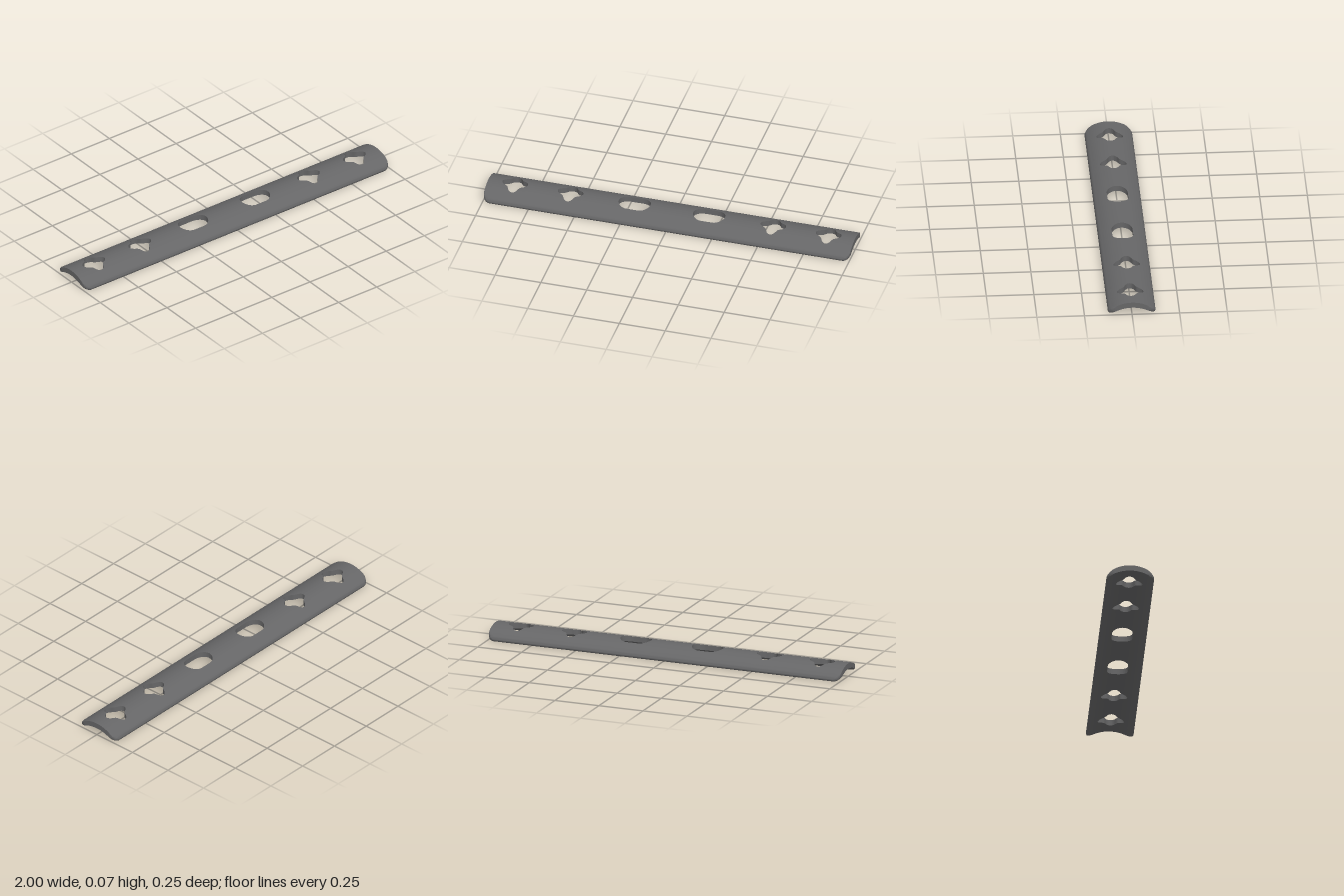
import * as THREE from 'three';
import { toCreasedNormals } from 'three/addons/utils/BufferGeometryUtils.js';

const HALF_LENGTH = 1, HALF_WIDTH = 0.125, CORNER = 0.038;

// Arched cross-section: heights of the outer and inner faces
const arc = (top, r, z) => top - r + Math.sqrt(r * r - z * z);
const outerY = z => arc(0.07, 0.181, z);
const innerY = z => arc(0.04, 0.195, z);

// Half outlines of the holes, as [x, half width] from -x to +x
function cloverHole(cx) {
  return Array.from({ length: 41 }, (_, i) => {
    const t = Math.PI * (1 - i / 40), r = 0.059 + 0.0105 * Math.cos(4 * t);
    return [cx + r * Math.cos(t), Math.max(0, r * Math.sin(t))];
  });
}
function slotHole(cx) {
  const r = 0.055, straight = 0.031;
  return Array.from({ length: 26 }, (_, i) => {
    const left = i < 13, t = Math.PI * (1 - (left ? i : i - 1) / 24);
    return [cx + (left ? -straight : straight) + r * Math.cos(t), r * Math.sin(t)];
  });
}

// Half width of the plate, with rounded corners
function plateEdge(x) {
  const d = Math.max(0, Math.abs(x) - (HALF_LENGTH - CORNER));
  return HALF_WIDTH - CORNER + Math.sqrt(Math.max(0, CORNER * CORNER - d * d));
}

// Stations along the plate: corner roundings plus every hole outline
function stations() {
  const list = [];
  for (let i = 0; i <= 10; i++) {
    const x = HALF_LENGTH - CORNER + CORNER * Math.sin((i / 10) * Math.PI / 2);
    list.push([-x, 0], [x, 0]);
  }
  for (const s of [-1, 1]) {
    list.push(...cloverHole(s * 0.855), ...cloverHole(s * 0.553), ...slotHole(s * 0.203));
  }
  return list.sort((a, b) => a[0] - b[0]).map(([x, h]) => [x, h < 1e-6 ? 0 : h]);
}

// Closed section of one half: over the top, round the edge, back underneath
const STEPS = 14;
function section([x, hole]) {
  const edge = plateEdge(x), lip = edge - 0.007, pts = [];
  const span = i => hole + (lip - hole) * i / STEPS;
  for (let i = 0; i <= STEPS; i++) pts.push([x, outerY(span(i)), span(i)]);
  pts.push([x, outerY(edge) - 0.0005, edge - 0.002], [x, outerY(edge) - 0.006, edge]);
  pts.push([x, innerY(lip) + 0.005, edge], [x, innerY(lip) + 0.001, edge - 0.003]);
  for (let i = STEPS; i >= 0; i--) pts.push([x, innerY(span(i)), span(i)]);
  return pts;
}

// Loft one half of the plate; side is +1 for front, -1 for back
function halfPlate(side) {
  const rows = stations(), loops = rows.map(section), n = loops[0].length;
  const position = [], index = [];
  loops.forEach(loop => loop.forEach(([x, y, z]) => position.push(x, y, z * side)));
  const tri = (a, b, c) => index.push(...(side > 0 ? [a, b, c] : [a, c, b]));
  for (let r = 0; r + 1 < rows.length; r++) {
    const open = rows[r][1] > 0 || rows[r + 1][1] > 0;
    for (let k = 0; k < n; k++) {
      if (k === n - 1 && !open) continue; // no wall on the centre line
      const a = r * n + k, b = r * n + (k + 1) % n;
      tri(a, b, b + n);
      tri(a, b + n, a + n);
    }
  }
  // End faces join matching points of the top and underside
  const last = (rows.length - 1) * n;
  for (let k = 0; k < n / 2 - 1; k++) {
    const m = n - 1 - k;
    tri(k, m, m - 1);
    tri(k, m - 1, k + 1);
    tri(last + k, last + m - 1, last + m);
    tri(last + k, last + k + 1, last + m - 1);
  }
  const g = new THREE.BufferGeometry();
  g.setAttribute('position', new THREE.Float32BufferAttribute(position, 3));
  g.setIndex(index);
  return toCreasedNormals(g, 0.7);
}

export function createModel() {
  const group = new THREE.Group();
  group.name = 'archedPlate';
  const darkMetal = new THREE.MeshStandardMaterial({ color: 0x666667 });
  darkMetal.name = 'darkMetal';
  for (const [name, side] of [['frontHalf', 1], ['backHalf', -1]]) {
    const mesh = new THREE.Mesh(halfPlate(side), darkMetal);
    mesh.name = name;
    group.add(mesh);
  }
  return group;
}
